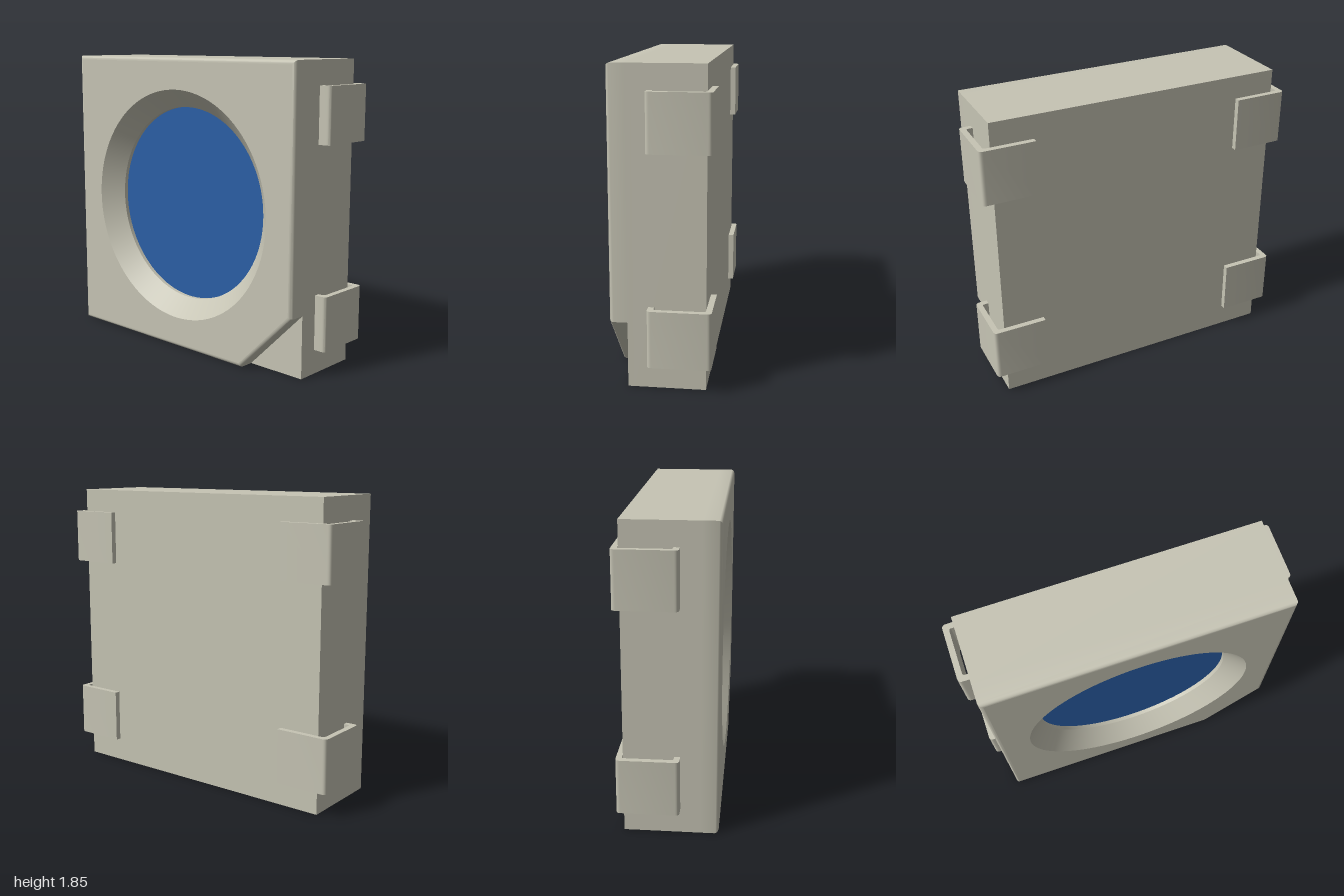
import * as THREE from 'three';
import { toCreasedNormals } from 'three/addons/utils/BufferGeometryUtils.js';

const HALF = 0.925, MID_Y = 0.925;            // square housing
const BACK = -0.26, STEP = 0.19, FRONT = 0.295;
const FLOOR = 0.155;                          // bottom of the round recess
const R_OUT = 0.73, R_IN = 0.617, FILLET = 0.025;

// Front outline with one cut corner, inset by d
function outline(d) {
  const h = HALF - d, c = 1.465 - d * Math.SQRT2;
  return [[-h, -h], [c - h, -h], [h, h - c], [h, h], [-h, h]];
}

function shapeWithHole(points, radius) {
  const shape = new THREE.Shape(points.map(([x, y]) => new THREE.Vector2(x, y)));
  const hole = new THREE.Path();
  hole.absarc(0, 0, radius, 0, Math.PI * 2, true);
  shape.holes.push(hole);
  return shape;
}

// Side walls through a stack of counter-clockwise loops running toward +z
function loft(loops) {
  const pos = [];
  for (let i = 0; i + 1 < loops.length; i++) {
    const a = loops[i], b = loops[i + 1], n = a.length;
    for (let j = 0; j < n; j++) {
      const k = (j + 1) % n;
      pos.push(...a[j], ...a[k], ...b[k], ...a[j], ...b[k], ...b[j]);
    }
  }
  const geo = new THREE.BufferGeometry();
  geo.setAttribute('position', new THREE.Float32BufferAttribute(pos, 3));
  return toCreasedNormals(geo, 0.6);
}

// Bent lead: C-shaped strip, profile drawn in (x, -z), extruded along y
function leadGeometry(height) {
  const s = new THREE.Shape(), r = 0.025, q = 0.015;
  s.moveTo(0.665, 0.26);
  s.lineTo(0.965 - q, 0.26);
  s.quadraticCurveTo(0.965, 0.26, 0.965, 0.26 - q);
  s.lineTo(0.965, -0.035 + q);
  s.quadraticCurveTo(0.965, -0.035, 0.965 - q, -0.035);
  s.lineTo(0.92, -0.035);
  s.lineTo(0.92, -0.07);
  s.lineTo(1 - r, -0.07);
  s.quadraticCurveTo(1, -0.07, 1, -0.07 + r);
  s.lineTo(1, 0.295 - r);
  s.quadraticCurveTo(1, 0.295, 1 - r, 0.295);
  s.lineTo(0.665, 0.295);
  s.closePath();
  const geo = new THREE.ExtrudeGeometry(s, { depth: height, bevelEnabled: false, curveSegments: 5 });
  geo.translate(0, 0, -height / 2);
  geo.rotateX(-Math.PI / 2);
  return toCreasedNormals(geo, 0.6);
}

export function createModel() {
  const group = new THREE.Group();
  group.name = 'surfaceMountLamp';
  const housingMat = new THREE.MeshStandardMaterial({ color: 0xc6c4b4 });
  housingMat.name = 'warm grey';
  const lensMat = new THREE.MeshStandardMaterial({ color: 0x2b5fa6 });
  lensMat.name = 'blue';

  const add = (name, geo, mat, x = 0, y = MID_Y, z = 0) => {
    const mesh = new THREE.Mesh(geo, mat);
    mesh.name = name;
    mesh.position.set(x, y, z);
    group.add(mesh);
    return mesh;
  };

  // Solid rear block
  const rearDepth = FLOOR - BACK;
  add('rearBlock', new THREE.BoxGeometry(HALF * 2, HALF * 2, rearDepth), housingMat,
    0, MID_Y, BACK + rearDepth / 2);

  // Square layer around the recess, its corner exposed by the cut
  const square = [[-HALF, -HALF], [HALF, -HALF], [HALF, HALF], [-HALF, HALF]];
  add('middleLayer', new THREE.ExtrudeGeometry(shapeWithHole(square, 0.64),
    { depth: STEP - FLOOR, bevelEnabled: false, curveSegments: 48 }), housingMat, 0, MID_Y, FLOOR);

  // Front layer with cut corner and rounded front edge
  const loops = [outline(0).map(p => [...p, STEP])];
  for (let i = 0; i <= 6; i++) {
    const a = i / 6 * Math.PI / 2;
    const z = FRONT - FILLET + FILLET * Math.sin(a);
    loops.push(outline(FILLET * (1 - Math.cos(a))).map(p => [...p, z]));
  }
  add('frontRim', loft(loops), housingMat);
  add('frontFace', new THREE.ShapeGeometry(shapeWithHole(outline(FILLET), R_OUT), 48),
    housingMat, 0, MID_Y, FRONT);

  // Conical reflector with a short straight wall at the bottom
  const profile = [[R_OUT, FRONT], [R_IN, FRONT - 0.113], [R_IN, FLOOR]]
    .map(([r, z]) => new THREE.Vector2(r, z));
  const cup = new THREE.LatheGeometry(profile, 96);
  cup.rotateX(Math.PI / 2);
  add('reflectorCup', toCreasedNormals(cup, 0.6), housingMat);

  // Blue lens disc on the recess floor
  add('lens', new THREE.CircleGeometry(R_IN, 96), lensMat, 0, MID_Y, FLOOR + 0.002);

  // Four wrap-around leads
  const lead = leadGeometry(0.335);
  for (const [level, y] of [['lower', 0.317], ['upper', 1.538]]) {
    add(level + 'LeftLead', lead, housingMat, 0, y);
    add(level + 'RightLead', lead, housingMat, 0, y).rotation.z = Math.PI;
  }
  return group;
}
